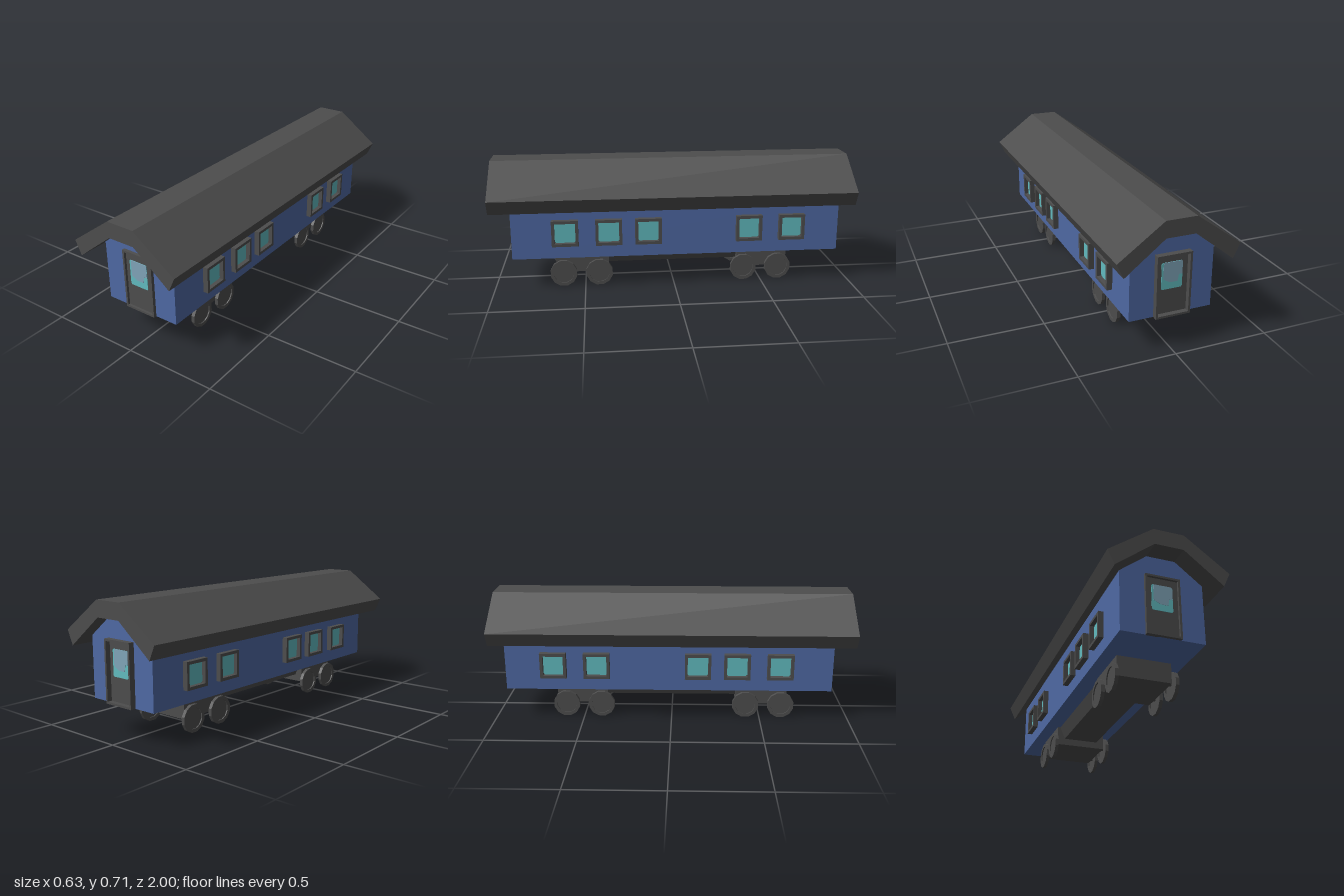
import * as THREE from 'three';

const mat = (name, color) => {
  const m = new THREE.MeshStandardMaterial({ color });
  m.name = name;
  return m;
};

const polygon = (pts) => new THREE.Shape(pts.map(([x, y]) => new THREE.Vector2(x, y)));

const mirrored = (half) => [...half, ...half.map(([x, y]) => [-x, y]).reverse()];

// Extrude a cross-section along z between two positions
function extrude(shape, z0, z1) {
  const g = new THREE.ExtrudeGeometry(shape, { depth: z1 - z0, bevelEnabled: false });
  return g.translate(0, 0, z0);
}

// Rectangular shape, centred, with an optional rectangular hole
const rect = (w, h) => [[-w / 2, -h / 2], [w / 2, -h / 2], [w / 2, h / 2], [-w / 2, h / 2]];
function frameShape(w, h, border) {
  const s = polygon(rect(w, h));
  s.holes.push(polygon(rect(w - 2 * border, h - 2 * border).reverse()));
  return s;
}

// Rectangle with clipped corners, for glass
function clippedRect(w, h, c) {
  const x = w / 2, y = h / 2;
  return polygon([[-x + c, -y], [x - c, -y], [x, -y + c], [x, y - c], [x - c, y], [-x + c, y], [-x, y - c], [-x, -y + c]]);
}

export function createModel() {
  const dark = mat('dark grey', 0x4d4d4d);
  const blue = mat('body blue', 0x4f69a4);
  const teal = mat('glass teal', 0x62bcc0);
  const haze = mat('glass grey blue', 0x80a5b9);

  const model = new THREE.Group();
  model.name = 'railCarriage';
  const add = (parent, name, geometry, material) => {
    const m = new THREE.Mesh(geometry, material);
    m.name = name;
    parent.add(m);
    return m;
  };

  const FRONT = 0.893, BACK = -0.925, SIDE = 0.218, FLOOR = 0.183;

  // Body, tucked slightly into the roof
  add(model, 'body', extrude(polygon(mirrored(
    [[SIDE, FLOOR], [SIDE, 0.515], [0.075, 0.628]])), BACK, FRONT), blue);

  // Angled overhanging roof
  add(model, 'roof', extrude(polygon([
    [-0.315, 0.535], [-0.28, 0.458], [-0.215, 0.51], [-0.075, 0.62],
    [0.075, 0.62], [0.215, 0.51], [0.28, 0.458], [0.315, 0.535],
    [0.08, 0.706], [-0.08, 0.706],
  ]), -1, 1), dark);

  // End doors
  const makeDoor = (name, depth) => {
    const door = new THREE.Group();
    door.name = name;
    add(door, 'doorFrame', extrude(frameShape(0.182, 0.327, 0.011), -0.005, depth), dark);
    add(door, 'doorPanel', extrude(polygon(rect(0.162, 0.307)), -0.005, 0.004), dark);
    const glass = add(door, 'doorGlass', extrude(clippedRect(0.11, 0.14, 0.006), 0.003, 0.006), teal);
    glass.position.set(-0.002, 0.045, 0);
    const pane = polygon([[-0.045, -0.015], [-0.01, -0.035], [0.03, -0.035], [0.036, 0],
      [0.054, 0], [0.054, 0.065], [0.048, 0.07], [-0.042, 0.07], [-0.045, 0.06]]);
    const reflection = add(door, 'doorGlassReflection', extrude(pane, 0.005, 0.0075), haze);
    reflection.position.copy(glass.position);
    door.position.y = FLOOR + 0.1635;
    model.add(door);
    return door;
  };
  makeDoor('frontDoor', 0.017).position.z = FRONT;
  const backDoor = makeDoor('backDoor', 0.03);
  backDoor.position.z = BACK;
  backDoor.rotation.y = Math.PI;

  // Side windows
  for (const side of [1, -1]) {
    for (const z of [0.602, 0.364, 0.147, -0.414, -0.655]) {
      const win = new THREE.Group();
      win.name = side > 0 ? 'leftWindow' : 'rightWindow';
      add(win, 'windowFrame', extrude(frameShape(0.145, 0.145, 0.016), -0.005, 0.029), dark);
      add(win, 'windowBacking', extrude(polygon(rect(0.116, 0.116)), -0.004, 0.003), dark);
      add(win, 'windowGlass', extrude(clippedRect(0.113, 0.112, 0.007), 0.002, 0.006), teal);
      win.position.set(side * SIDE, 0.329, z);
      win.rotation.y = side * Math.PI / 2;
      model.add(win);
    }
  }

  // Tapered underframe beam
  add(model, 'underframeBeam', extrude(polygon(mirrored(
    [[0.1, 0.113], [0.13, FLOOR + 0.002]])), -0.4, 0.4), dark);

  // Bogies
  for (const [z0, z1] of [[0.365, 0.655], [-0.652, -0.365]]) {
    const bogie = add(model, 'bogie', new THREE.BoxGeometry(0.29, 0.111, z1 - z0), dark);
    bogie.position.set(0, 0.0745 + 0.0555, (z0 + z1) / 2);
  }

  // Wheels: twelve-sided discs with a raised rim on both faces
  const R = 0.0757, r = 0.057, t = 0.0095, web = 0.003;
  const wheelProfile = [[0, -web], [r, -web], [r, -t], [R, -t], [R, t], [r, t], [r, web], [0, web]];
  const wheelLathe = new THREE.LatheGeometry(
    wheelProfile.map(([x, y]) => new THREE.Vector2(x, y)), 12, Math.PI / 12);
  const wheelGeo = wheelLathe.toNonIndexed();
  wheelGeo.computeVertexNormals();
  wheelGeo.rotateZ(-Math.PI / 2);
  for (const z of [0.62, 0.42, -0.4, -0.6]) {
    for (const side of [1, -1]) {
      add(model, 'wheel', wheelGeo, dark).position.set(side * 0.158, 0.0732, z);
    }
    // Axle joining the pair
    const axle = add(model, 'axle', new THREE.CylinderGeometry(0.012, 0.012, 0.312, 8), dark);
    axle.rotation.z = Math.PI / 2;
    axle.position.set(0, 0.0865, z);
  }

  return model;
}
